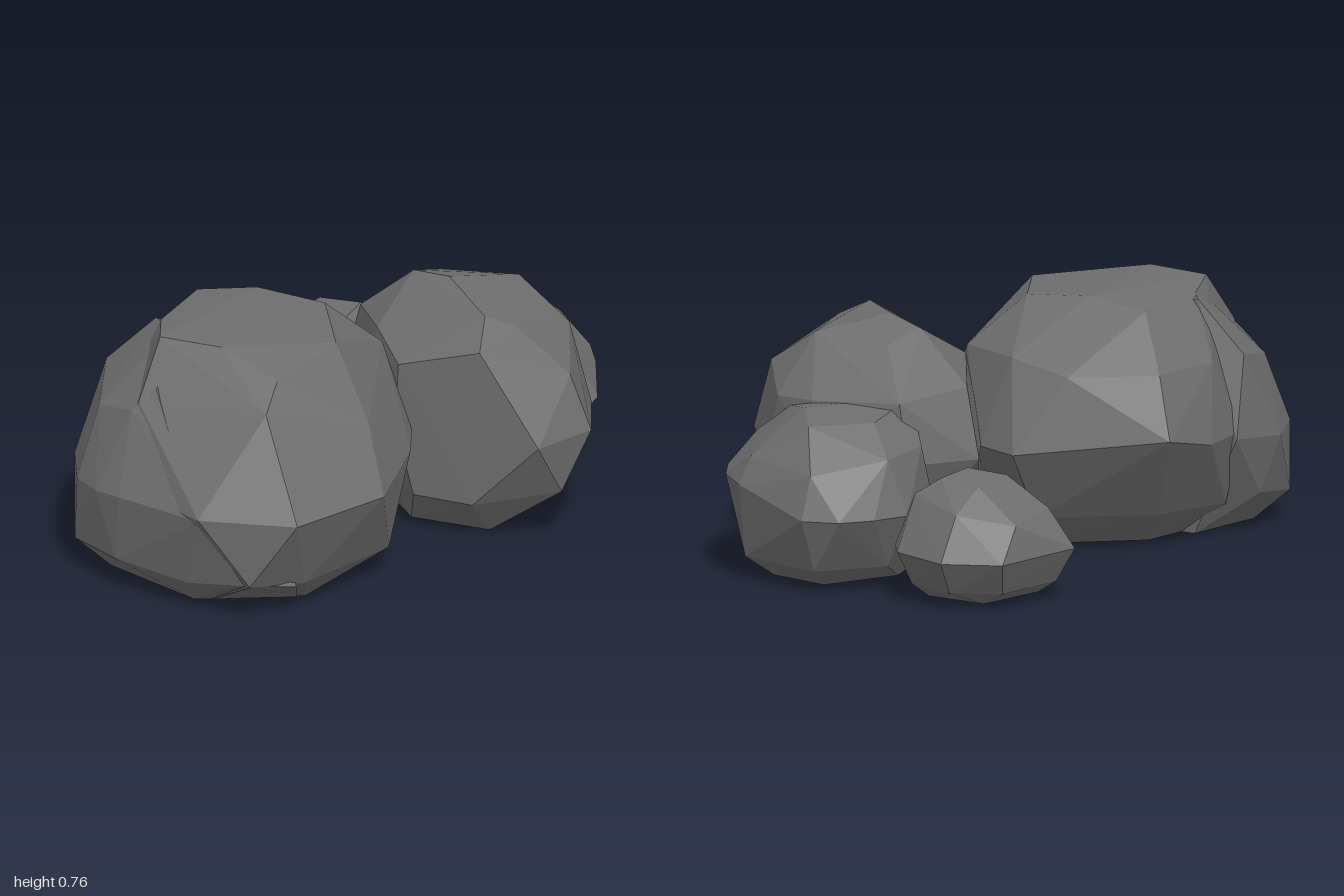
import * as THREE from 'three';
import { ConvexGeometry } from 'three/addons/geometries/ConvexGeometry.js';

const stone = new THREE.MeshStandardMaterial({ color: 0x6e6e6e });
stone.name = 'grey stone';

// A faceted boulder: the hull of a few rings of corners, each [x, y, z]
function boulder(name, ...rings) {
  const corners = rings.flat().map(([x, y, z]) => new THREE.Vector3(x, y, z));
  const mesh = new THREE.Mesh(new ConvexGeometry(corners), stone);
  mesh.name = name;
  return mesh;
}

// A ring of corners that share one height
const level = (y, ...points) => points.map(([x, z]) => [x, y, z]);

export function createModel() {
  const group = new THREE.Group();
  group.name = 'rockCluster';

  // Large boulder with a flat base
  group.add(boulder('largeBoulder',
    level(0.005, [0.1, 0.66], [0.1, 0.22], [-0.15, 0.8], [-0.48, 0.6], [-0.43, 0.25], [-0.2, 0.05]),
    [[0.27, 0.1, 0.41], [0.04, 0.13, 0.95], [0.15, 0.1, 0.78], [-0.4, 0.1, 0.78],
      [-0.6, 0.11, 0.42], [-0.54, 0.12, 0.14], [-0.25, 0.12, -0.1], [0.13, 0.12, 0.07]],
    level(0.345, [0.335, 0.6], [0.19, 0.93], [-0.11, 1], [-0.44, 0.83], [-0.66, 0.42],
      [-0.69, 0.2], [-0.26, -0.25], [-0.1, -0.19], [0.2, 0.07], [0.26, 0.22]),
    [[0.24, 0.54, 0.5], [0.03, 0.64, 0.8], [-0.41, 0.6, 0.76], [-0.63, 0.58, 0.3], [-0.67, 0.39, 0],
      [-0.6, 0.58, 0.05], [-0.38, 0.58, -0.13], [-0.18, 0.62, -0.13], [0.08, 0.6, 0.02]],
    [[0.09, 0.74, 0.4], [0.02, 0.71, 0.69], [-0.19, 0.765, 0.63], [-0.4, 0.762, 0.62],
      [-0.47, 0.745, 0.45], [-0.47, 0.74, 0.17], [-0.28, 0.77, 0.15], [-0.06, 0.75, 0.14]],
  ));

  // Slab leaning on its front corner
  group.add(boulder('cornerBoulder',
    level(0.005, [-0.54, 0.67], [-0.5, 0.4], [-0.2, 0.82], [-0.2, 0.4], [0.08, 0.68]),
    [[-0.66, 0.13, 0.52], [-0.64, 0.1, 0.72], [-0.45, 0.11, 0.85], [-0.18, 0.1, 0.92],
      [0.02, 0.13, 0.945], [0.14, 0.1, 0.82]],
    [[-0.71, 0.31, 0.56], [-0.68, 0.33, 0.36], [-0.62, 0.31, 0.75], [-0.52, 0.32, 0.84],
      [-0.42, 0.33, 0.89], [-0.25, 0.335, 0.945], [-0.11, 0.335, 0.99]],
    [[-0.66, 0.58, 0.43], [-0.58, 0.53, 0.67], [-0.43, 0.57, 0.77], [-0.25, 0.5, 0.86], [-0.36, 0.64, 0.74]],
    [[-0.5, 0.735, 0.42], [-0.4, 0.755, 0.53], [-0.3, 0.7, 0.4]],
  ));

  // Tall middle boulder with a flat front
  group.add(boulder('middleBoulder',
    level(0.01, [0.41, -0.04], [0.15, -0.04], [0.4, -0.35], [0.15, -0.37], [0, -0.2]),
    [[0.4, 0.13, 0.07], [0.2, 0.13, 0.06], [0.645, 0.17, -0.05], [0.58, 0.15, -0.28],
      [0.3, 0.13, -0.5], [-0.05, 0.14, -0.45], [-0.1, 0.14, -0.2]],
    level(0.35, [-0.21, -0.36], [-0.05, -0.1], [0.14, 0.06], [0.62, 0.07], [0.705, -0.14],
      [0.61, -0.36], [0.45, -0.53], [0.2, -0.62], [-0.08, -0.56]),
    [[0.15, 0.55, 0.06], [0.42, 0.63, 0.06], [0.635, 0.52, -0.14], [0.52, 0.58, -0.4],
      [0.4, 0.51, -0.55], [0.25, 0.52, -0.59], [-0.05, 0.54, -0.56], [-0.14, 0.56, -0.32], [0.02, 0.6, -0.08]],
    [[0.19, 0.735, -0.24], [0.05, 0.715, -0.29], [0.395, 0.71, -0.04], [0.09, 0.68, -0.41],
      [0.34, 0.695, -0.43], [0.47, 0.67, -0.1]],
  ));

  // Lower boulder at the back, reaching under the middle one
  group.add(boulder('backBoulder',
    level(0.015, [0.25, -0.8], [0.33, -0.42], [0.05, -0.83], [-0.07, -0.6], [0, -0.35]),
    level(0.08, [0.31, -0.87], [0.44, -0.45], [0.02, -0.93], [-0.13, -0.75]),
    [[-0.21, 0.25, -0.76], [-0.16, 0.25, -0.87], [-0.09, 0.25, -0.96], [0.02, 0.25, -1],
      [0.3, 0.315, -0.92], [0.4, 0.32, -0.84], [0.47, 0.32, -0.72], [0.54, 0.27, -0.57],
      [0.53, 0.25, -0.46], [0.3, 0.25, -0.3], [-0.13, 0.25, -0.5]],
    [[0.02, 0.38, -0.95], [0.28, 0.4, -0.88], [0.46, 0.4, -0.57], [-0.15, 0.42, -0.78], [-0.13, 0.42, -0.56]],
    [[0.1, 0.505, -0.84], [0.22, 0.52, -0.68], [0.34, 0.49, -0.57], [0.3, 0.5, -0.4],
      [0, 0.53, -0.42], [-0.05, 0.51, -0.7]],
  ));

  // Small separate rock
  group.add(boulder('smallRock',
    level(0.015, [-0.55, -0.55], [-0.5, -0.78], [-0.3, -0.78], [-0.28, -0.5], [-0.38, -0.45]),
    level(0.06, [-0.62, -0.56], [-0.58, -0.8], [-0.44, -0.88], [-0.27, -0.83],
      [-0.22, -0.62], [-0.24, -0.46], [-0.35, -0.42], [-0.5, -0.48]),
    level(0.165, [-0.675, -0.54], [-0.62, -0.86], [-0.45, -0.945], [-0.25, -0.88], [-0.19, -0.8],
      [-0.17, -0.6], [-0.2, -0.41], [-0.345, -0.365], [-0.52, -0.45]),
    [[-0.61, 0.27, -0.77], [-0.45, 0.3, -0.86], [-0.25, 0.33, -0.78], [-0.22, 0.32, -0.55],
      [-0.32, 0.3, -0.43], [-0.58, 0.28, -0.54]],
    [[-0.46, 0.37, -0.75], [-0.32, 0.38, -0.74], [-0.31, 0.38, -0.58], [-0.44, 0.37, -0.56]],
  ));

  return group;
}
